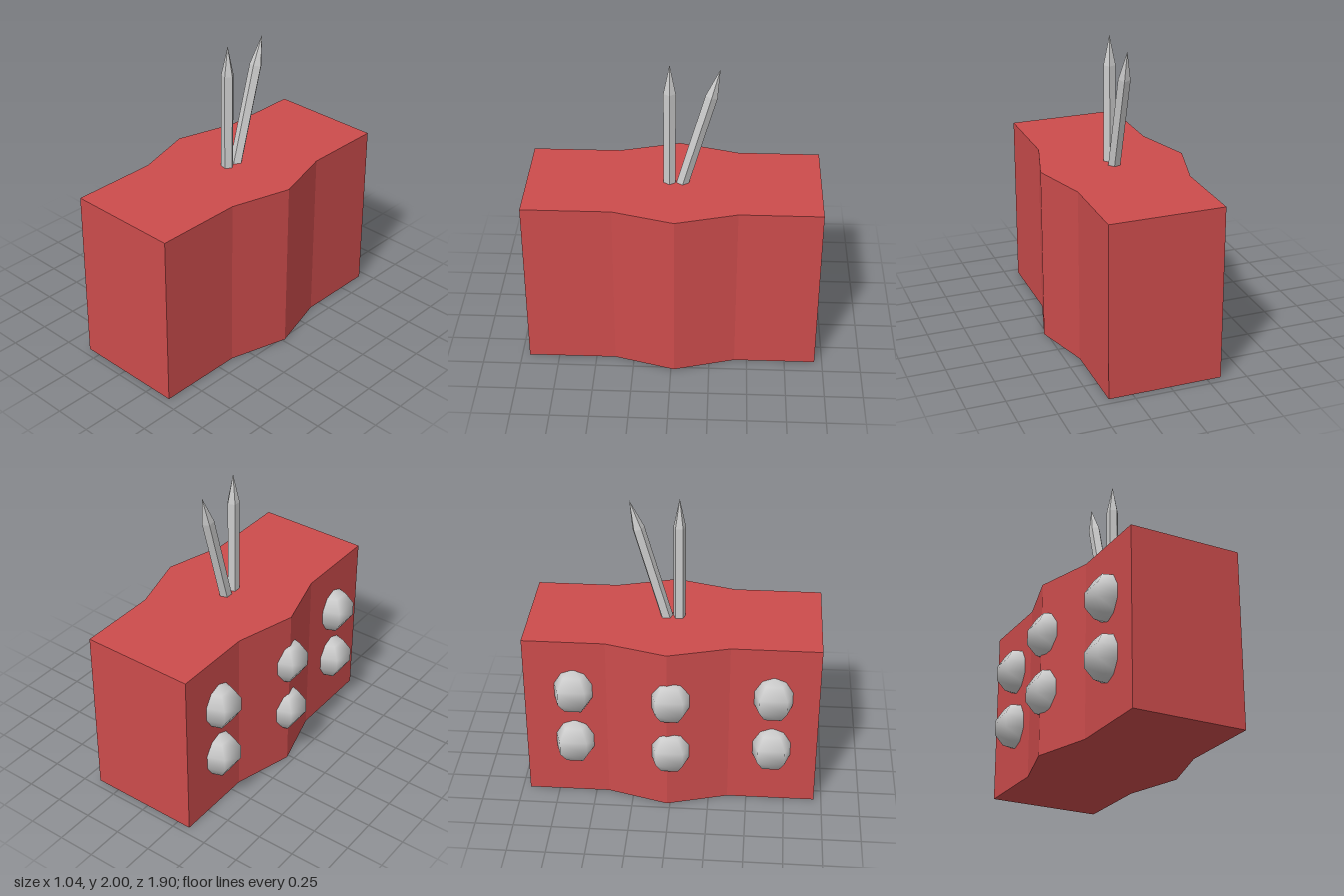
import * as THREE from 'three';

const grey = new THREE.MeshStandardMaterial({ color: 0xcccccc });
const greyFlat = new THREE.MeshStandardMaterial({ color: 0xcccccc, flatShading: true });
const red = new THREE.MeshStandardMaterial({ color: 0xcc4c4c });

function addMesh(parent, name, geometry, material, x, y, z) {
  const mesh = new THREE.Mesh(geometry, material);
  mesh.name = name;
  mesh.position.set(x, y, z);
  parent.add(mesh);
  return mesh;
}

export function createModel() {
  const model = new THREE.Group();
  model.name = 'blockWithSpikes';

  // Block: a plan outline with a pointed bulge on both sides, extruded upwards
  const midX = 0.032;
  const side = [[0.375, 0.95], [0.375, 0.375], [0.488, -0.02], [0.375, -0.417], [0.375, -0.95]];
  const outline = [
    ...side.map(([x, z]) => new THREE.Vector2(x, -z)),
    ...side.map(([x, z]) => new THREE.Vector2(-x, -z)).reverse(),
  ];
  const block = new THREE.ExtrudeGeometry(new THREE.Shape(outline), { depth: 1.16, bevelEnabled: false });
  block.rotateX(-Math.PI / 2);
  addMesh(model, 'block', block, red, midX, 0, 0);

  // Knobs: two rows of three five-sided balls sunk into the right side
  const knob = new THREE.SphereGeometry(0.156, 5, 5);
  knob.rotateY(Math.PI);
  for (const y of [0.41, 0.8]) {
    for (const [x, z] of [[-0.333, -0.63], [-0.403, 0], [-0.333, 0.655]]) {
      addMesh(model, 'knob', knob, grey, x, y, z);
    }
  }

  // Spikes: five-sided shafts with pointed ends, measured down from the tip
  const profile = [[0, -1], [0.041, -1], [0.041, -0.195], [0, 0]].map(([r, y]) => new THREE.Vector2(r, y));
  const spike = new THREE.LatheGeometry(profile, 5, Math.PI / 2);
  addMesh(model, 'uprightSpike', spike, greyFlat, 0.034, 2, 0.027);
  const leaning = addMesh(model, 'leaningSpike', spike, greyFlat, 0.034, 1.976, -0.286);
  leaning.rotation.x = -0.274;

  return model;
}
